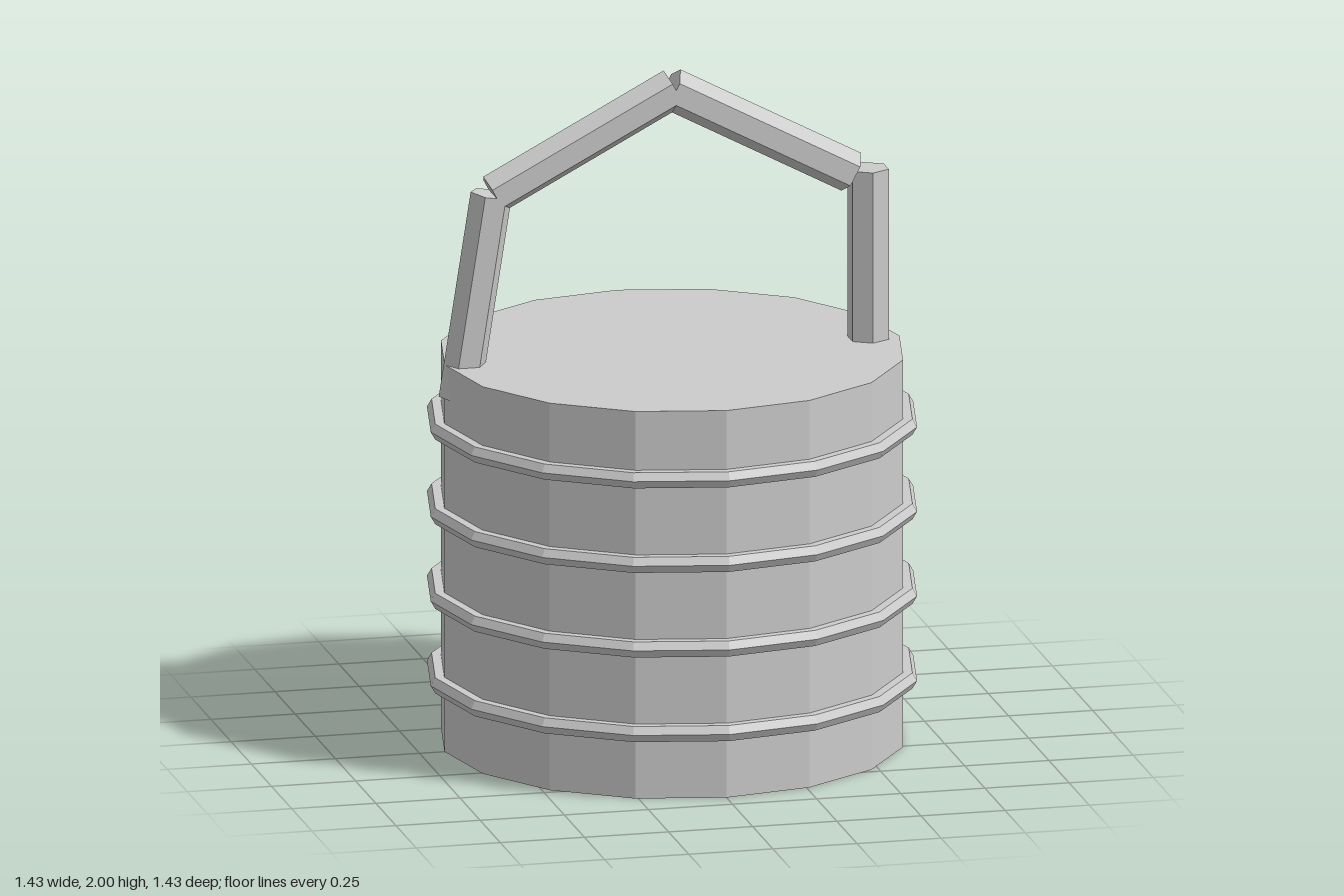
import * as THREE from 'three';

export function createModel() {
  const model = new THREE.Group();
  const material = new THREE.MeshStandardMaterial({ color: 0xcccccc, flatShading: true });

  const add = (name, geometry, parent = model) => {
    const mesh = new THREE.Mesh(geometry, material);
    mesh.name = name;
    parent.add(mesh);
    return mesh;
  };

  // Sixteen-sided closed bucket body
  const height = 1.16;
  add('body', new THREE.CylinderGeometry(0.676, 0.676, height, 16)).position.y = height / 2;

  // Hoops round the body
  for (let i = 0; i < 4; i++) {
    const hoop = add('hoop', new THREE.TorusGeometry(0.69, 0.027, 6, 16));
    hoop.rotation.x = Math.PI / 2;
    hoop.position.y = 0.2 + i * 0.2535;
  }

  // Handle of four straight hexagonal rods
  const handle = new THREE.Group();
  handle.name = 'handle';
  model.add(handle);

  const rod = (name, [x1, y1], [x2, y2], turn) => {
    const dx = x2 - x1, dy = y2 - y1;
    const geometry = new THREE.CylinderGeometry(0.062, 0.062, Math.hypot(dx, dy), 6, 1, false, turn);
    const mesh = add(name, geometry, handle);
    mesh.position.set((x1 + x2) / 2, (y1 + y2) / 2, 0);
    mesh.rotation.z = Math.atan2(-dx, dy);
  };

  const edgeUp = Math.PI / 2;
  rod('leftPost', [0.583, 1.06], [0.583, 1.67], 0);
  rod('rightPost', [-0.632, 1.056], [-0.537, 1.663], edgeUp);
  for (const s of [1, -1]) {
    rod(s > 0 ? 'leftArm' : 'rightArm', [s * 0.532, 1.661], [s * -0.004, 1.945], edgeUp);
  }

  return model;
}
